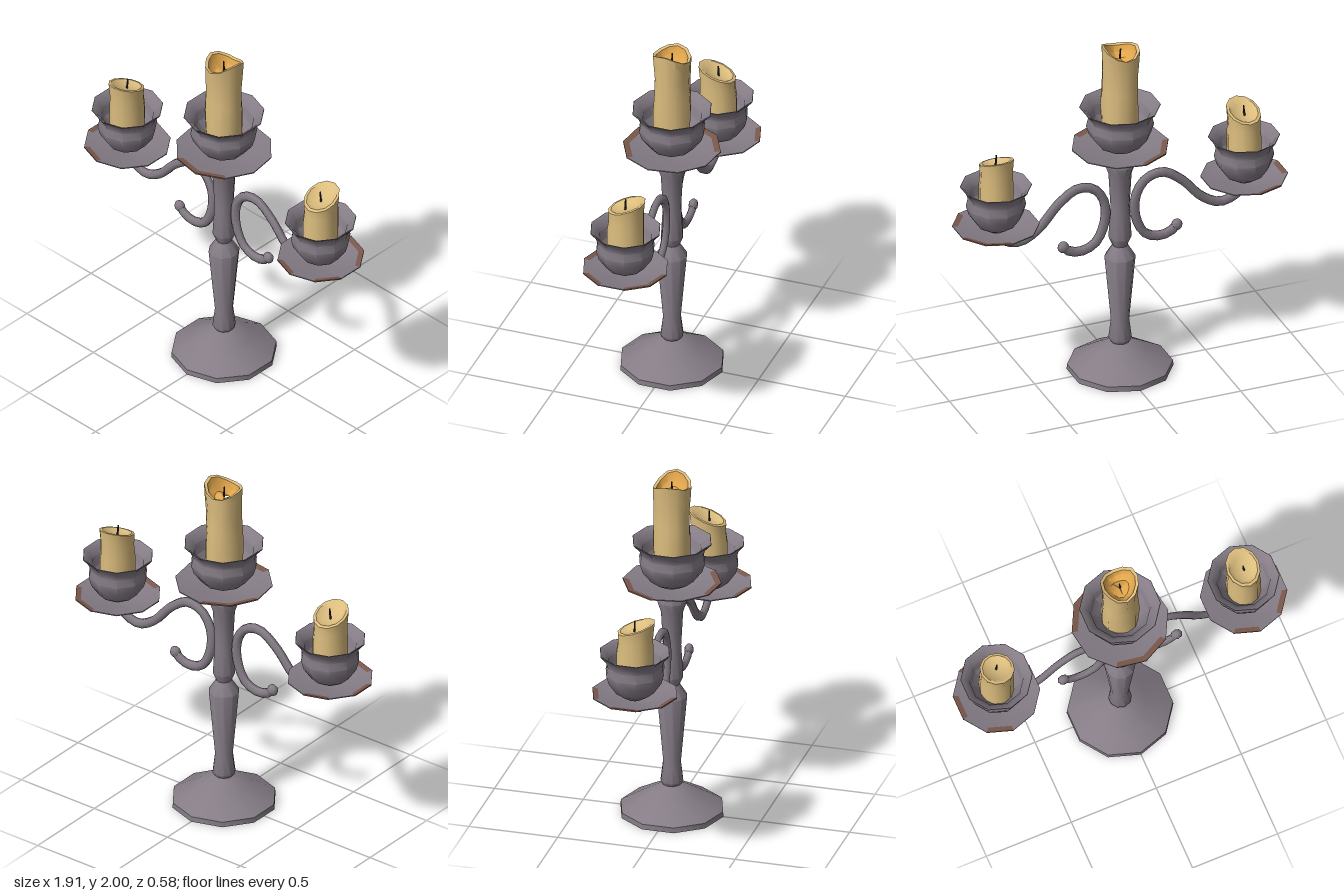
import * as THREE from 'three';
import { toCreasedNormals } from 'three/addons/utils/BufferGeometryUtils.js';

const mat = (name, color, side = THREE.FrontSide) => {
  const m = new THREE.MeshStandardMaterial({ color, side });
  m.name = name;
  return m;
};

export function createModel() {
  const metal = mat('agedMetal', 0x857c86);
  const rust = mat('rust', 0x7a584c, THREE.DoubleSide);
  const wax = mat('wax', 0xdcbd7e);
  const pool = mat('warmWax', 0xe2a64c);
  const wickBlack = mat('wick', 0x2b272a);

  const model = new THREE.Group();
  model.name = 'candelabra';

  const add = (parent, name, geometry, material) => {
    const mesh = new THREE.Mesh(geometry, material);
    mesh.name = name;
    parent.add(mesh);
    return mesh;
  };
  // Ten-sided turned shape, optionally bent by a rule, with sharp edges kept
  const turned = (points, { sides = 10, start = 0, sweep = Math.PI * 2, bend } = {}) => {
    const g = new THREE.LatheGeometry(points.map(([r, y]) => new THREE.Vector2(r, y)), sides, start, sweep);
    if (bend) {
      const p = g.attributes.position;
      const v = new THREE.Vector3();
      for (let i = 0; i < p.count; i++) {
        bend(v.fromBufferAttribute(p, i));
        p.setXYZ(i, v.x, v.y, v.z);
      }
    }
    return toCreasedNormals(g, 0.72);
  };

  // Foot and stem
  add(model, 'foot', turned([
    [0, 0], [0.29, 0], [0.288, 0.03], [0.145, 0.115], [0.055, 0.165], [0, 0.165],
  ]), metal);
  add(model, 'stem', turned([
    [0.045, 0.155], [0.064, 0.185], [0.05, 0.3], [0.085, 0.69], [0.042, 0.76],
    [0.063, 0.81], [0.052, 1.0], [0.063, 1.2], [0.083, 1.26], [0.062, 1.325], [0, 1.325],
  ]), metal);

  // Drip dish, cup and rust patches; y = 0 is the cup rim
  function makeHolder(name, s, x, top, dishTurn, patches) {
    const holder = new THREE.Group();
    holder.name = name;
    holder.position.set(x, top, 0);
    model.add(holder);
    const scaled = (pts) => pts.map(([r, y]) => [r * s, y]);

    const dish = add(holder, 'dripDish', turned(scaled([
      [0, -0.305], [0.06, -0.3], [0.268, -0.248], [0.268, -0.242], [0.06, -0.285], [0, -0.287],
    ])), metal);
    dish.rotation.y = dishTurn;

    add(holder, 'cup', turned(scaled([
      [0, -0.285], [0.05, -0.275], [0.12, -0.235], [0.17, -0.17], [0.185, -0.12], [0.174, -0.075],
      [0.187, -0.04], [0.222, -0.003], [0.22, 0], [0.2, -0.012], [0.165, -0.05],
      [0.155, -0.11], [0.1, -0.17], [0, -0.18],
    ])), metal);

    patches.forEach((k) => {
      const patch = add(holder, 'rustPatch', turned(scaled([
        [0.242, -0.2565], [0.2695, -0.249], [0.2695, -0.241], [0.235, -0.2475],
      ]), { sides: 1, start: k * Math.PI / 5, sweep: Math.PI / 5 }), rust);
      patch.rotation.y = dishTurn;
    });
    return holder;
  }

  const addWick = (parent, base, height) => {
    const wick = add(parent, 'wick', new THREE.CylinderGeometry(0.004, 0.006, height, 6), wickBlack);
    wick.position.y = base + height / 2;
    wick.rotation.z = 0.08;
  };

  // Tall centre candle with a wavy rim and a melted hollow
  const main = makeHolder('centreHolder', 1, 0, 1.62, Math.PI / 20, [0, 5, 6, 9]);
  const wavyRim = (v) => {
    const a = Math.atan2(v.z, v.x);
    const w = THREE.MathUtils.clamp((v.y - 0.15) / 0.18, 0, 1);
    v.y += w * (0.022 * Math.cos(2 * a) + 0.012 * Math.cos(a) + 0.006 * Math.sin(a));
    const swell = 1 + 0.04 * Math.sin(3 * a + v.y * 9);
    v.x *= swell;
    v.z *= swell;
  };
  add(main, 'centreCandle', turned([
    [0.1, -0.175], [0.104, 0], [0.1, 0.1], [0.098, 0.2], [0.103, 0.29], [0.105, 0.345], [0.088, 0.34],
  ], { sides: 12, bend: wavyRim }), wax);
  add(main, 'meltedHollow', turned([
    [0.088, 0.34], [0.078, 0.3], [0.05, 0.275], [0, 0.27],
  ], { sides: 12, bend: wavyRim }), pool);
  addWick(main, 0.265, 0.085);

  // Short side candles with a slanted top, turned half round from each other
  const slantedTop = (v) => {
    const w = THREE.MathUtils.clamp((v.y + 0.02) / 0.17, 0, 1);
    v.x *= 0.93;
    v.z *= 1.04;
    v.y -= w * (0.36 * v.z + 0.06 * v.x);
    v.z -= 0.008 * w;
  };
  [1, -1].forEach((side) => {
    const patches = side > 0 ? [1, 3, 4, 9] : [5, 7, 9];
    const holder = makeHolder(side > 0 ? 'leftHolder' : 'rightHolder', 0.885, side * 0.727, 1.28, 0, patches);
    const candle = new THREE.Group();
    candle.name = 'sideCandle';
    candle.rotation.y = side > 0 ? 0 : Math.PI;
    holder.add(candle);
    add(candle, 'candleBody', turned([
      [0.1, -0.175], [0.1, 0], [0.095, 0.08], [0.1, 0.15], [0.085, 0.152], [0.06, 0.132], [0, 0.125],
    ], { sides: 12, bend: slantedTop }), wax);
    addWick(candle, 0.12, 0.065);
  });

  // Scrolled arms, from the inner curl up over the stem and out to the dish
  const path = [
    [0.335, 0.815], [0.305, 0.785], [0.235, 0.765], [0.145, 0.8], [0.09, 0.92], [0.095, 1.05],
    [0.155, 1.135], [0.25, 1.155], [0.36, 1.085], [0.48, 0.955], [0.59, 0.9], [0.69, 0.935], [0.735, 1.0],
  ];
  [1, -1].forEach((side) => {
    const arm = new THREE.Group();
    arm.name = side > 0 ? 'leftArm' : 'rightArm';
    model.add(arm);
    const curve = new THREE.CatmullRomCurve3(path.map(([x, y]) => new THREE.Vector3(side * x, y, 0)));
    const tube = new THREE.TubeGeometry(curve, 30, 0.028, 6);
    tube.scale(1, 1, 0.75);
    add(arm, 'scroll', tube, metal);
    const knob = add(arm, 'scrollTip', new THREE.SphereGeometry(0.033, 8, 6), metal);
    knob.position.set(side * 0.333, 0.812, 0);
    knob.scale.z = 0.8;
  });

  return model;
}
